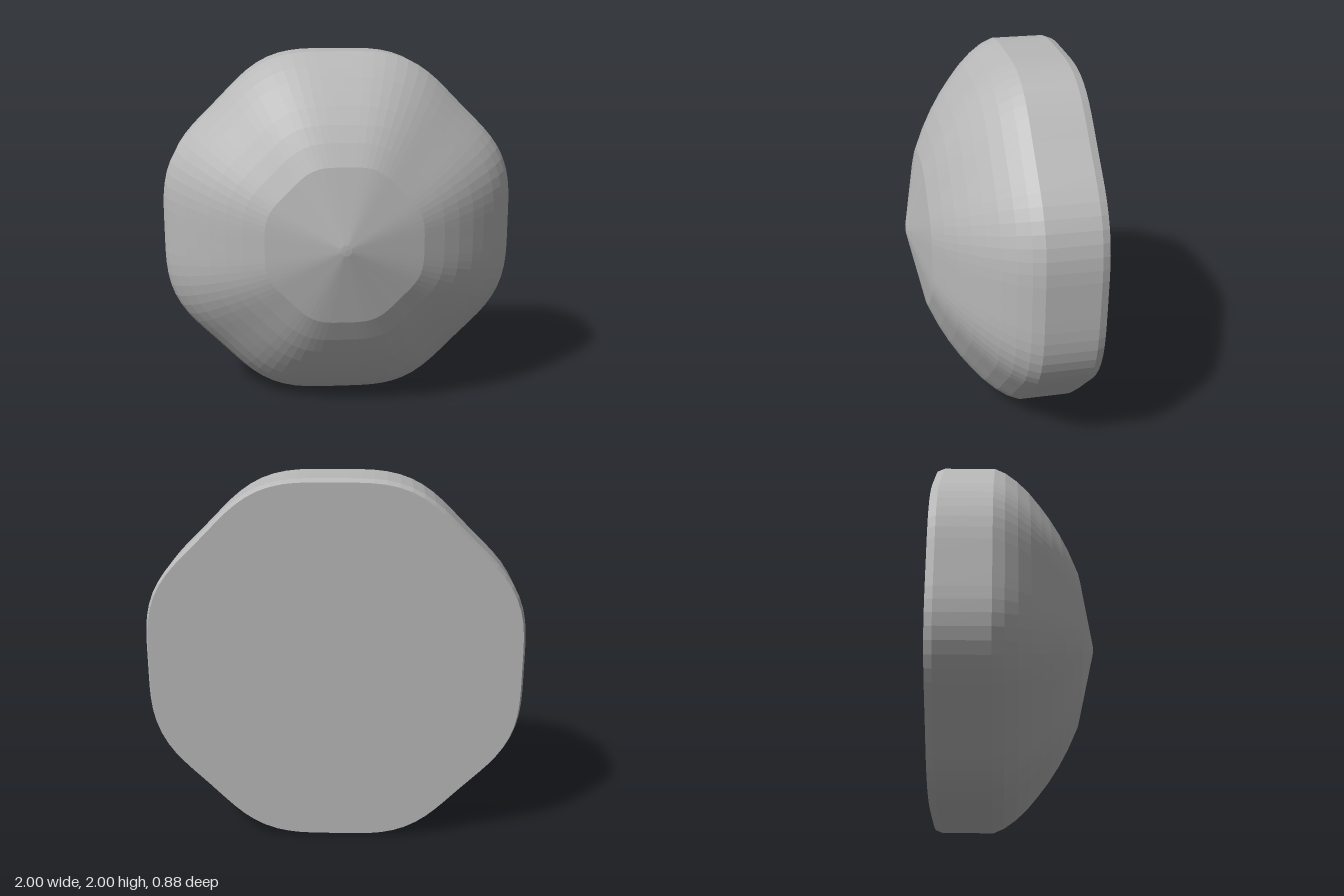
import * as THREE from 'three';

// Rounded octagon outline: distance from the axis at a given angle
const outline = (a) => 1.013 - 0.018 * Math.cos(8 * a) + 0.005 * Math.cos(4 * a);

// Turns a profile of [radius, z] pairs (back to front) into an octagonal solid facing +z
function octagonalLathe(profile, segments) {
  const geometry = new THREE.LatheGeometry(profile.map(([r, z]) => new THREE.Vector2(r, z)), segments);
  geometry.rotateX(Math.PI / 2);
  const p = geometry.attributes.position;
  for (let i = 0; i < p.count; i++) {
    const k = outline(Math.atan2(p.getY(i), p.getX(i)));
    p.setXY(i, p.getX(i) * k, p.getY(i) * k);
  }
  geometry.computeVertexNormals();
  return geometry;
}

export function createModel() {
  const group = new THREE.Group();
  group.name = 'octagonalDome';

  const grey = new THREE.MeshStandardMaterial({ color: 0xb8b8b8, flatShading: true });
  grey.name = 'plain grey';

  const parts = {
    // Flat back, small bevel and straight side wall
    base: [[0, -0.44], [0.985, -0.44], [1, -0.4], [1, -0.12]],
    // Stepped dome rising to a shallow cone with a tiny flat tip
    dome: [[1, -0.12], [0.975, -0.06], [0.93, 0.005], [0.87, 0.07], [0.8, 0.13], [0.73, 0.185],
      [0.64, 0.245], [0.55, 0.295], [0.43, 0.35], [0.03, 0.438], [0, 0.44]],
  };

  for (const [name, profile] of Object.entries(parts)) {
    const mesh = new THREE.Mesh(octagonalLathe(profile, 96), grey);
    mesh.name = name;
    mesh.position.y = 1;
    group.add(mesh);
  }
  return group;
}
